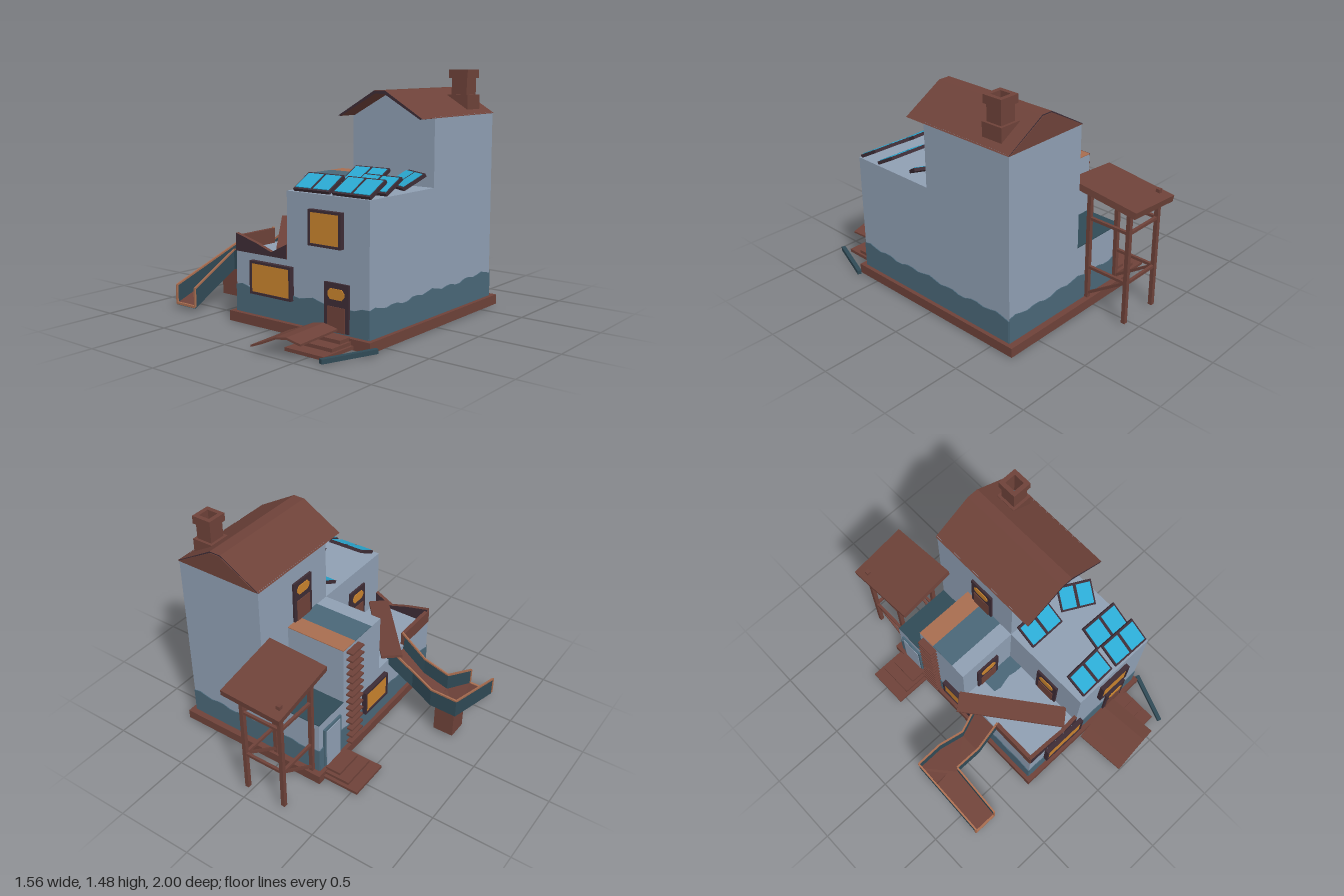
import * as THREE from 'three';

const mat = (name, color, side = THREE.FrontSide) => {
  const m = new THREE.MeshStandardMaterial({ color, side });
  m.name = name;
  return m;
};

export function createModel() {
  const root = new THREE.Group();
  root.name = 'house';
  const wall = mat('greyBlueWall', 0x8f9fb3);
  const teal = mat('tealPaint', 0x4a6778, THREE.DoubleSide);
  const darkTeal = mat('darkTeal', 0x304a56, THREE.DoubleSide);
  const brown = mat('brown', 0x6e4239, THREE.DoubleSide);
  const dark = mat('darkBrown', 0x3d2c35);
  const amber = mat('amberGlass', 0xc9832d);
  const copper = mat('copperTrim', 0xa86d50, THREE.DoubleSide);
  const blue = mat('solarBlue', 0x2ba9d2);

  const add = (name, geo, m, parent = root) => {
    const mesh = new THREE.Mesh(geo, m);
    mesh.name = name;
    parent.add(mesh);
    return mesh;
  };
  // Box given by its low and high corners
  const box = (name, m, x0, x1, y0, y1, z0, z1, parent = root) => {
    const b = add(name, new THREE.BoxGeometry(x1 - x0, y1 - y0, z1 - z0), m, parent);
    b.position.set((x0 + x1) / 2, (y0 + y1) / 2, (z0 + z1) / 2);
    return b;
  };
  const beam = (name, m, a, b, t) => {
    const p = new THREE.Vector3(...a), q = new THREE.Vector3(...b);
    const s = add(name, new THREE.BoxGeometry(t, t, p.distanceTo(q)), m);
    s.position.copy(p).lerp(q, 0.5);
    s.lookAt(q);
    return s;
  };
  const extrude = (pts, depth) => new THREE.ExtrudeGeometry(
    new THREE.Shape(pts.map(p => new THREE.Vector2(...p))), { depth, bevelEnabled: false });
  // Surface between two matching point rows
  const ribbon = (name, m, a, b) => {
    const g = new THREE.BufferGeometry(), pos = [];
    for (let i = 0; i < a.length - 1; i++)
      pos.push(...a[i], ...a[i + 1], ...b[i + 1], ...a[i], ...b[i + 1], ...b[i]);
    g.setAttribute('position', new THREE.Float32BufferAttribute(pos, 3));
    g.computeVertexNormals();
    return add(name, g, m);
  };
  const place = (o, x, y, z, ry = 0) => { o.position.set(x, y, z); o.rotation.y = ry; return o; };

  // Base and underside
  box('base', brown, -0.31, 0.73, 0, 0.06, -0.665, 0.655);
  box('underside', darkTeal, -0.26, 0.68, -0.004, 0, -0.61, 0.3);
  box('undersideFront', wall, -0.26, 0.68, -0.004, 0, 0.3, 0.6);
  box('undersidePatch', amber, -0.26, -0.02, -0.006, -0.004, -0.6, -0.3);

  // Building blocks
  box('tallBlock', wall, 0.12, 0.7, 0.06, 1.21, -0.62, 0.02);
  box('frontBlock', wall, 0.12, 0.7, 0.06, 0.81, 0.02, 0.62);
  box('terraceBlock', wall, -0.28, 0.12, 0.06, 0.42, 0.02, 0.62);
  box('sideBlock', wall, -0.28, 0.12, 0.06, 0.81, -0.37, 0.02);
  box('annex', wall, -0.28, 0.12, 0.06, 0.42, -0.62, -0.37);
  box('annexRoof', darkTeal, -0.28, 0.12, 0.42, 0.426, -0.62, -0.37);
  box('roofStripeCopper', copper, -0.28, 0.12, 0.81, 0.815, -0.37, -0.25);
  box('roofStripeTeal', teal, -0.28, 0.12, 0.81, 0.815, -0.25, -0.08);

  // Painted lower band with an uneven upper edge
  const band = (w, h) => {
    const pts = [[-w / 2, 0], [w / 2, 0]], n = Math.round(w * 20);
    for (let i = n; i >= 0; i--)
      pts.push([-w / 2 + w * i / n, h + 0.009 * Math.sin(i * 1.7) + 0.006 * Math.sin(i * 0.6 + 1)]);
    return extrude(pts, 0.005);
  };
  place(add('frontBand', band(0.98, 0.155), teal), 0.21, 0.06, 0.62);
  place(add('backBand', band(0.98, 0.155), teal), 0.21, 0.06, -0.62, Math.PI);
  place(add('rightBand', band(1.24, 0.155), teal), 0.7, 0.06, 0, Math.PI / 2);
  place(add('leftBand', band(1.24, 0.155), teal), -0.28, 0.06, 0, -Math.PI / 2);
  const patch = place(add('terracePatch', band(0.24, 0.1), teal), 0, 0.42, 0.02);
  patch.rotation.x = Math.PI / 2;
  patch.position.y = 0.425;

  // Main roof, a thin folded shell with a flat ridge
  const roof = extrude([[0.112, 1.205], [0.375, 1.357], [0.45, 1.357], [0.708, 1.205],
    [0.69, 1.202], [0.445, 1.338], [0.38, 1.338], [0.13, 1.202]], 0.778);
  place(add('mainRoof', roof, [dark, brown]), 0, 0, -0.623);
  const gable = [[0.12, 1.205], [0.7, 1.205], [0.447, 1.35], [0.378, 1.35]];
  place(add('frontGable', extrude(gable.map(([x, y]) => [x, y - 0.008]), 0.6), wall), 0, 0, -0.58);
  place(add('backGable', extrude(gable, 0.008), brown), 0, 0, -0.627);

  // Hollow chimney
  const ring = (name, w, h, y) => {
    const s = new THREE.Shape(), r = w / 2, k = 0.037;
    s.moveTo(-r, -r).lineTo(r, -r).lineTo(r, r).lineTo(-r, r).closePath();
    s.holes.push(new THREE.Path().moveTo(-k, -k).lineTo(-k, k).lineTo(k, k).lineTo(k, -k).closePath());
    const g = new THREE.ExtrudeGeometry(s, { depth: h, bevelEnabled: false }).rotateX(-Math.PI / 2);
    place(add(name, g, brown), 0.59, y, -0.46);
  };
  ring('chimneyBase', 0.14, 0.09, 1.23);
  ring('chimneyNeck', 0.105, 0.1, 1.32);
  ring('chimneyCap', 0.13, 0.05, 1.42);
  box('chimneyShaft', teal, 0.55, 0.63, 1.29, 1.3, -0.5, -0.42);

  // Doors and windows, built facing +z
  const door = (x, y, z, ry, h = 0.27) => {
    const g = new THREE.Group();
    g.name = 'door';
    box('doorFrame', dark, -0.085, 0.085, 0, h, 0, 0.014, g);
    box('doorPanel', brown, -0.062, 0.062, 0, h - 0.13, 0.014, 0.018, g);
    const pane = extrude([[-0.04, -0.03], [0.04, -0.03], [0.057, -0.01], [0.057, 0.01],
      [0.04, 0.03], [-0.04, 0.03], [-0.057, 0.01], [-0.057, -0.01]], 0.005);
    place(add('doorPane', pane, amber, g), 0, h - 0.06, 0.014);
    root.add(place(g, x, y, z, ry));
  };
  door(0.487, 0.07, 0.622, 0);
  door(-0.085, 0.42, 0.02, 0, 0.255);
  door(0.12, 0.42, 0.355, -Math.PI / 2, 0.26);
  door(0.12, 0.82, -0.23, -Math.PI / 2);

  const windowUnit = (x, y, z, w, h, ry) => {
    const g = new THREE.Group();
    g.name = 'window';
    const t = 0.014;
    for (const s of [-1, 1]) {
      box('frameSide', dark, s * (w / 2 - t / 2) - t / 2, s * (w / 2 - t / 2) + t / 2, -h / 2, h / 2, 0, 0.03, g);
      box('frameRail', dark, -w / 2, w / 2, s * (h / 2 - t / 2) - t / 2, s * (h / 2 - t / 2) + t / 2, 0, 0.03, g);
    }
    box('glass', amber, -w / 2 + t, w / 2 - t, -h / 2 + t, h / 2 - t, 0, 0.024, g);
    root.add(place(g, x, y, z, ry));
  };
  windowUnit(0.412, 0.628, 0.62, 0.23, 0.2, 0);
  windowUnit(0.01, 0.285, 0.62, 0.315, 0.195, 0);
  windowUnit(-0.28, 0.27, -0.04, 0.25, 0.17, -Math.PI / 2);
  box('annexDoorFrame', teal, -0.294, -0.28, 0.07, 0.36, -0.58, -0.41);
  box('annexDoor', wall, -0.298, -0.294, 0.07, 0.345, -0.565, -0.425);

  // Ladder on the left wall
  for (let i = 0; i < 14; i++)
    box('ladderRung', brown, -0.325, -0.28, 0.08 + i * 0.0538, 0.092 + i * 0.0538, -0.34, -0.22);

  // Terrace parapet and leaning plank
  place(add('frontParapet', extrude([[-0.28, 0.42], [0.12, 0.42], [0.12, 0.505], [0, 0.445],
    [-0.12, 0.485], [-0.28, 0.525]], 0.025), [dark, brown]), 0, 0, 0.6);
  box('sideParapet', brown, -0.285, -0.26, 0.42, 0.51, 0.31, 0.62);
  const plank = add('fallenPlank', new THREE.BoxGeometry(0.13, 0.018, 0.68), brown);
  plank.position.set(-0.14, 0.5, 0.305);
  plank.lookAt(0.08, 0.465, 0.57);

  // Solar panels, tilted up towards the back
  for (const [x, z, ry, w] of [[0.28, 0.53, 0.03, 0.25], [0.565, 0.535, -0.02, 0.26],
    [0.56, 0.385, -0.03, 0.26], [0.28, 0.105, 0, 0.25], [0.575, 0.12, -0.5, 0.22]]) {
    const g = new THREE.Group();
    g.name = 'solarPanel';
    box('panelFrame', dark, -w / 2, w / 2, -0.01, 0.01, -0.08, 0.08, g);
    for (const s of [-1, 1])
      box('panelCell', blue, s * w / 4 - w / 4 + 0.01, s * w / 4 + w / 4 - 0.01, 0.01, 0.014, -0.067, 0.067, g);
    g.rotation.order = 'YXZ';
    g.rotation.x = 0.5;
    root.add(place(g, x, 0.855, z, ry));
  }

  // Lean-to tower behind the house
  for (const x of [-0.235, 0.035]) {
    for (const z of [-0.635, -0.915]) box('towerLeg', brown, x - 0.013, x + 0.013, 0, 0.78, z - 0.013, z + 0.013);
    for (const y of [0.27, 0.595]) box('towerBeam', brown, x - 0.009, x + 0.009, y - 0.009, y + 0.009, -0.915, -0.62);
    beam('towerBrace', brown, [x, 0.075, -0.62], [x, 0.27, -0.91], 0.016);
  }
  for (const y of [0.27, 0.595]) box('towerCrossBeam', brown, -0.235, 0.035, y - 0.009, y + 0.009, -0.924, -0.906);
  const shed = add('towerRoof', new THREE.BoxGeometry(0.395, 0.04, 0.465), [brown, brown, brown, dark, brown, brown]);
  shed.position.set(-0.083, 0.775, -0.762);
  shed.rotation.set(-0.14, 0.03, 0.11);

  // Steps at the annex door and the front door
  for (let i = 0; i < 3; i++) {
    box('sideStep', brown, -0.55 + i * 0.075, -0.3, i * 0.02 + 0.015, i * 0.02 + 0.033, -0.62 + i * 0.02, -0.35 - i * 0.02);
    box('frontStep', brown, 0.35 + i * 0.01, 0.62 - i * 0.015, i * 0.02 + 0.005, i * 0.02 + 0.025, 0.65, 0.9 - i * 0.085);
  }

  // Bent sheet and loose bar on the ground
  const arc = [[0, 0.02], [0.08, 0.05], [0.17, 0.09], [0.24, 0.1], [0.33, 0.08]];
  const sheet = extrude([...arc, ...arc.map(([x, y]) => [x, y + 0.012]).reverse()], 0.335);
  place(add('bentSheet', sheet, brown), 0.17, 0, 0.665, 0.08);
  beam('looseBar', darkTeal, [0.76, 0.02, 0.63], [0.64, 0.02, 0.95], 0.026);

  // Slide: floor, side walls and rims follow two edge rows
  const outer = [[-0.27, 0.4, 0.13], [-0.44, 0.255, 0.17], [-0.6, 0.215, 0.125], [-0.78, 0.21, 0.125], [-0.78, 0.025, 0.65]];
  const inner = [[-0.27, 0.4, 0.31], [-0.44, 0.255, 0.32], [-0.618, 0.215, 0.31], [-0.618, 0.213, 0.312], [-0.618, 0.025, 0.65]];
  const shift = (row, dx, dy, dz) => row.map(([x, y, z]) => [x + dx, y + dy, z + dz]);
  ribbon('slideFloor', brown, outer, inner);
  ribbon('slideUnderside', darkTeal, shift(outer, 0, -0.012, 0), shift(inner, 0, -0.012, 0));
  for (const row of [outer, inner]) {
    const top = shift(row, 0, 0.115, 0);
    ribbon('slideWall', darkTeal, shift(row, 0, -0.012, 0), top);
    for (let i = 0; i < 4; i++) if (row === outer || i !== 2) beam('slideRim', copper, top[i], top[i + 1], 0.011);
    beam('slideEndRim', copper, row[4], top[4], 0.011);
  }
  beam('slideLip', copper, outer[4], inner[4], 0.014);
  box('slidePost', brown, -0.765, -0.63, 0.015, 0.2, 0.14, 0.27);
  return root;
}
